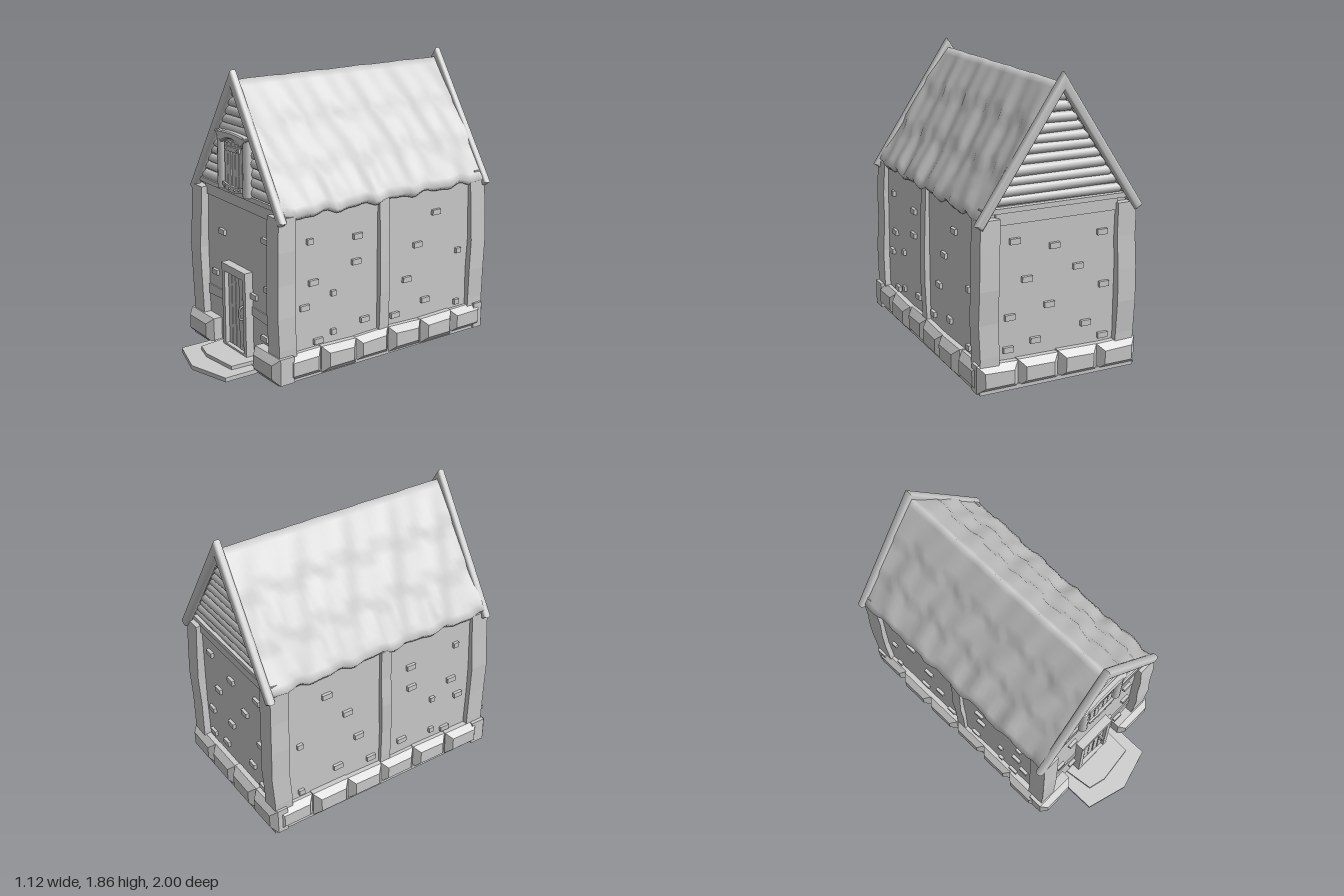
import * as THREE from 'three';
import { toCreasedNormals } from 'three/addons/utils/BufferGeometryUtils.js';

const FRONT = 0.63, BACK = -0.92, SIDE = 0.485;
const flat = new THREE.MeshStandardMaterial({ color: 0xcccccc, flatShading: true });
const smooth = new THREE.MeshStandardMaterial({ color: 0xcccccc, side: THREE.DoubleSide });

let seed = 7;
const rnd = (a = 1) => {
  seed = (seed * 16807) % 2147483647;
  return (seed / 2147483647 * 2 - 1) * a;
};

export function createModel() {
  const model = new THREE.Group();

  const add = (name, geo, x = 0, y = 0, z = 0, mat = flat, parent = model) => {
    const m = new THREE.Mesh(geo, mat);
    m.name = name;
    m.position.set(x, y, z);
    parent.add(m);
    return m;
  };
  const box = (name, w, h, d, x, y, z, parent) =>
    add(name, new THREE.BoxGeometry(w, h, d), x, y, z, flat, parent);
  const shapeOf = pts => new THREE.Shape(pts.map(p => new THREE.Vector2(p[0], p[1])));
  const extrude = (shape, depth, bevel = 0, segs = 1) => new THREE.ExtrudeGeometry(shape, {
    depth, bevelEnabled: bevel > 0, bevelThickness: bevel, bevelSize: bevel,
    bevelOffset: -bevel, bevelSegments: segs, curveSegments: 8,
  });

  // Walls and floor slab
  const depth = FRONT - BACK, mid = (FRONT + BACK) / 2;
  box('walls', SIDE * 2, 1.03, depth, 0, 0.535, mid);
  box('floorSlab', 1.04, 0.03, 1.66, 0, 0.017, -0.14);

  // Uneven corner and middle pillars: rings shifted at each height
  const pillar = (name, w, d, x, z, sx, sz, amount) => {
    const g = new THREE.BoxGeometry(w, 1.03, d, 1, 5, 1);
    const p = g.attributes.position;
    const shift = Array.from({ length: 6 }, () => [rnd(amount), rnd(amount)]);
    for (let i = 0; i < p.count; i++) {
      const k = Math.round((p.getY(i) / 1.03 + 0.5) * 5);
      const bulge = 0.012 * Math.sin(k / 5 * Math.PI);
      p.setX(i, p.getX(i) + shift[k][0] + sx * bulge);
      p.setZ(i, p.getZ(i) + shift[k][1] + sz * bulge);
    }
    add(name, g, x, 0.535, z);
  };
  for (const s of [-1, 1]) {
    pillar('frontCornerPillar', 0.125, 0.125, s * 0.45, 0.615, s, 1, 0.007);
    pillar('backCornerPillar', 0.125, 0.125, s * 0.45, -0.895, s, -1, 0.007);
    pillar('middlePillar', 0.05, 0.075, s * 0.48, -0.12, s, 0, 0.006);
  }

  // Chiselled foundation stones
  const stone = (len, thick, x, z, turn) => {
    const w = len / 2, h = 0.085;
    const g = extrude(shapeOf([[-w, -h], [w, -h], [w, h + rnd(0.006)], [-w, h + rnd(0.006)]]), thick - 0.04, 0.04);
    const p = g.attributes.position;
    for (let i = 0; i < p.count; i++) // keep the hidden back face full size
      if (p.getZ(i) < 0) p.setZ(i, 0);
    add('foundationStone', g, x, 0.095, z).rotation.y = turn;
  };
  for (let i = 0; i < 6; i++)
    for (const s of [-1, 1])
      stone(0.265, 0.1 + rnd(0.008), s * 0.455, 0.505 - i * 0.265, s * Math.PI / 2);
  for (const s of [-1, 1]) stone(0.29, 0.14, s * 0.4, 0.59, 0);
  for (let i = 0; i < 4; i++) stone(0.268, 0.11, -0.402 + i * 0.268, -0.885, Math.PI);

  // Loose bricks showing through the plaster
  const bricks = new THREE.Group();
  bricks.name = 'wallBricks';
  model.add(bricks);
  for (const [x, y] of [[-0.2, 0.79], [0.31, 0.86], [-0.3, 0.49], [0.33, 0.55], [0.17, 0.46], [-0.17, 0.21], [0.29, 0.22]])
    box('brick', 0.066, 0.035, 0.04, x, y, FRONT, bricks);
  for (const [x, y] of [[-0.3, 0.88], [0.02, 0.84], [0.28, 0.9], [-0.14, 0.69], [0.2, 0.66], [-0.32, 0.55],
    [0.05, 0.48], [0.31, 0.44], [-0.2, 0.32], [0.14, 0.27], [-0.32, 0.22], [0.32, 0.24]])
    box('brick', 0.066, 0.035, 0.04, x, y, BACK, bricks);
  for (const [z, y, w = 0.066] of [[0.44, 0.87, 0.04], [0.08, 0.84], [0.09, 0.675], [-0.555, 0.885], [-0.405, 0.69],
    [0.415, 0.605], [0.48, 0.455], [0.265, 0.505, 0.035], [0.265, 0.25, 0.035], [0.38, 0.215], [0.02, 0.275],
    [-0.225, 0.245], [-0.32, 0.47], [-0.48, 0.295], [-0.755, 0.585, 0.04], [-0.755, 0.22, 0.04]])
    for (const s of [-1, 1]) box('brick', 0.04, 0.035, w, s * SIDE, y, z, bricks);

  // Raised plaster bands on the front wall
  for (const s of [-1, 1])
    add('plasterBand', extrude(shapeOf([[s * 0.13, 0.33], [s * 0.4, 0.31], [s * 0.4, 0.38], [s * 0.13, 0.385]]), 0.008), 0, 0, FRONT);

  // Thatched roof: wavy closed section swept from back to front, in three overlapping layers
  const NZ = 48, NX = 18, loop = 2 * (2 * NX + 1), pos = [], idx = [];
  for (let i = 0; i <= NZ; i++) {
    const z = -0.94 + 1.58 * i / NZ;
    const edge = 0.011 * Math.sin(z * 23) + 0.007 * Math.sin(z * 41 + 1);
    for (let j = 0; j < loop; j++) {
      const under = j > 2 * NX;
      const k = under ? loop - 1 - j : j;
      const u = k / NX - 1, t = Math.abs(u), s = Math.sign(u);
      const layer = ((t + edge * 1.5) * 3) % 1;
      const wave = 0.006 * Math.sin(z * 17 + s * 2 + t * 5) + 0.004 * Math.sin(z * 37 + t * 9);
      const puff = under ? -0.025 : 0.012 * (t < 0.04 ? 0 : layer) + wave * Math.min(1, t * 2 + 0.4);
      pos.push(s * (0.515 * t + puff * 0.8), 1.8 - 0.745 * t + puff * 0.6 + edge * t * t - (under ? 0.01 : 0), z);
    }
  }
  for (let i = 0; i < NZ; i++)
    for (let j = 0; j < loop; j++) {
      const a = i * loop + j, b = i * loop + (j + 1) % loop, c = a + loop, d = b + loop;
      idx.push(a, c, b, b, c, d);
    }
  const roof = new THREE.BufferGeometry();
  roof.setAttribute('position', new THREE.Float32BufferAttribute(pos, 3));
  roof.setIndex(idx);
  roof.computeVertexNormals();
  add('thatchRoof', roof, 0, 0, 0, smooth);

  // Gables: backing board, stacked logs, tie beam and rounded barge boards
  const barge = shapeOf([[0, 1.86], [-0.55, 1.03], [-0.505, 1.0], [0, 1.75], [0.505, 1.0], [0.55, 1.03]]);
  const gable = shapeOf([[-0.48, 1.04], [0.48, 1.04], [0, 1.77]]);
  for (const s of [1, -1]) {
    const end = s > 0 ? FRONT : BACK;
    add('gableBoard', extrude(gable, 0.03), 0, 0, s > 0 ? end - 0.04 : end + 0.01);
    add('bargeBoards', toCreasedNormals(extrude(barge, 0.016, 0.018, 3), 0.7), 0, 0, s > 0 ? 0.647 : -0.968, smooth);
    for (let y = 1.135; y < 1.72; y += 0.058) {
      const half = (1.765 - y) / 1.5;
      const log = add('gableLog', new THREE.CylinderGeometry(0.031 + rnd(0.004), 0.031 + rnd(0.004), half * 2, 10),
        0, y + rnd(0.005), end - s * 0.01, smooth);
      log.rotation.z = Math.PI / 2 + rnd(0.01);
    }
    box('tieBeam', 0.98, 0.03, 0.06, 0, 1.092, end - s * 0.005);
    box('beamFascia', 0.8, 0.08, 0.05, 0, 1.042, end - s * 0.015);
  }

  // Loft hatch in the front gable
  const hatch = new THREE.Group();
  hatch.name = 'loftHatch';
  hatch.position.z = FRONT;
  model.add(hatch);
  for (const s of [-1, 1])
    add('hatchPost', new THREE.CylinderGeometry(0.031, 0.033, 0.37, 10), s * 0.15, 1.285, 0.025, smooth, hatch);
  const lintel = new THREE.Shape();
  lintel.moveTo(-0.19, 1.465);
  lintel.lineTo(-0.12, 1.4);
  lintel.quadraticCurveTo(0, 1.475, 0.12, 1.4);
  lintel.lineTo(0.19, 1.465);
  lintel.quadraticCurveTo(0, 1.495, -0.19, 1.465);
  add('hatchLintel', extrude(lintel, 0.04, 0.008), 0, 0, 0.01, flat, hatch);
  box('hatchBacking', 0.25, 0.32, 0.03, 0, 1.26, 0.005, hatch);
  for (let i = 0; i < 5; i++)
    box('hatchPlank', 0.036, 0.28 + 0.012 * (2 - Math.abs(i - 2)), 0.02, (i - 2) * 0.041, 1.265, 0.026 + rnd(0.003), hatch);
  box('hatchStrap', 0.17, 0.03, 0.015, 0, 1.372, 0.04, hatch).rotation.z = 0.03;
  const sill = new THREE.Shape();
  sill.moveTo(-0.11, 1.15);
  sill.lineTo(-0.11, 1.12);
  sill.quadraticCurveTo(0, 1.08, 0.11, 1.12);
  sill.lineTo(0.11, 1.15);
  sill.quadraticCurveTo(0, 1.125, -0.11, 1.15);
  add('hatchSill', extrude(sill, 0.02), 0, 0, 0.03, flat, hatch);
  for (const [x, y] of [[-0.07, 1.37], [0.07, 1.375], [-0.08, 1.13], [-0.03, 1.12], [0.03, 1.12], [0.08, 1.13]])
    add('nail', new THREE.SphereGeometry(0.007, 8, 6), x, y, 0.05, smooth, hatch);

  // Door with frame, planks and handle
  const door = new THREE.Group();
  door.name = 'door';
  door.position.z = FRONT;
  model.add(door);
  for (const s of [-1, 1]) box('doorJamb', 0.032, 0.52, 0.07, s * 0.126, 0.3, 0.02, door);
  box('doorLintel', 0.284, 0.052, 0.076, 0, 0.586, 0.02, door);
  box('doorThreshold', 0.25, 0.02, 0.07, 0, 0.055, 0.02, door);
  for (let i = 0; i < 5; i++)
    box('doorPlank', 0.039, 0.505, 0.03, (i - 2) * 0.044, 0.307, 0.015 + rnd(0.004), door);
  const handle = new THREE.CatmullRomCurve3([[0, 0.045, 0], [0, 0.035, 0.025], [0, -0.035, 0.025], [0, -0.045, 0]]
    .map(p => new THREE.Vector3(...p)));
  add('doorHandle', new THREE.TubeGeometry(handle, 10, 0.007, 6), 0.072, 0.325, 0.03, smooth, door);

  // Doorstep: two pointed slabs
  const step = (name, pts, y, h) =>
    add(name, extrude(shapeOf(pts), h).rotateX(Math.PI / 2), 0, y + h, 0);
  step('lowerStep', [[-0.28, 0.55], [0.28, 0.55], [0.28, 0.92], [0, 1], [-0.28, 0.92]], 0, 0.028);
  step('upperStep', [[-0.21, 0.6], [0.21, 0.6], [0.2, 0.83], [-0.06, 0.86], [-0.18, 0.83]], 0.026, 0.026);

  return model;
}
